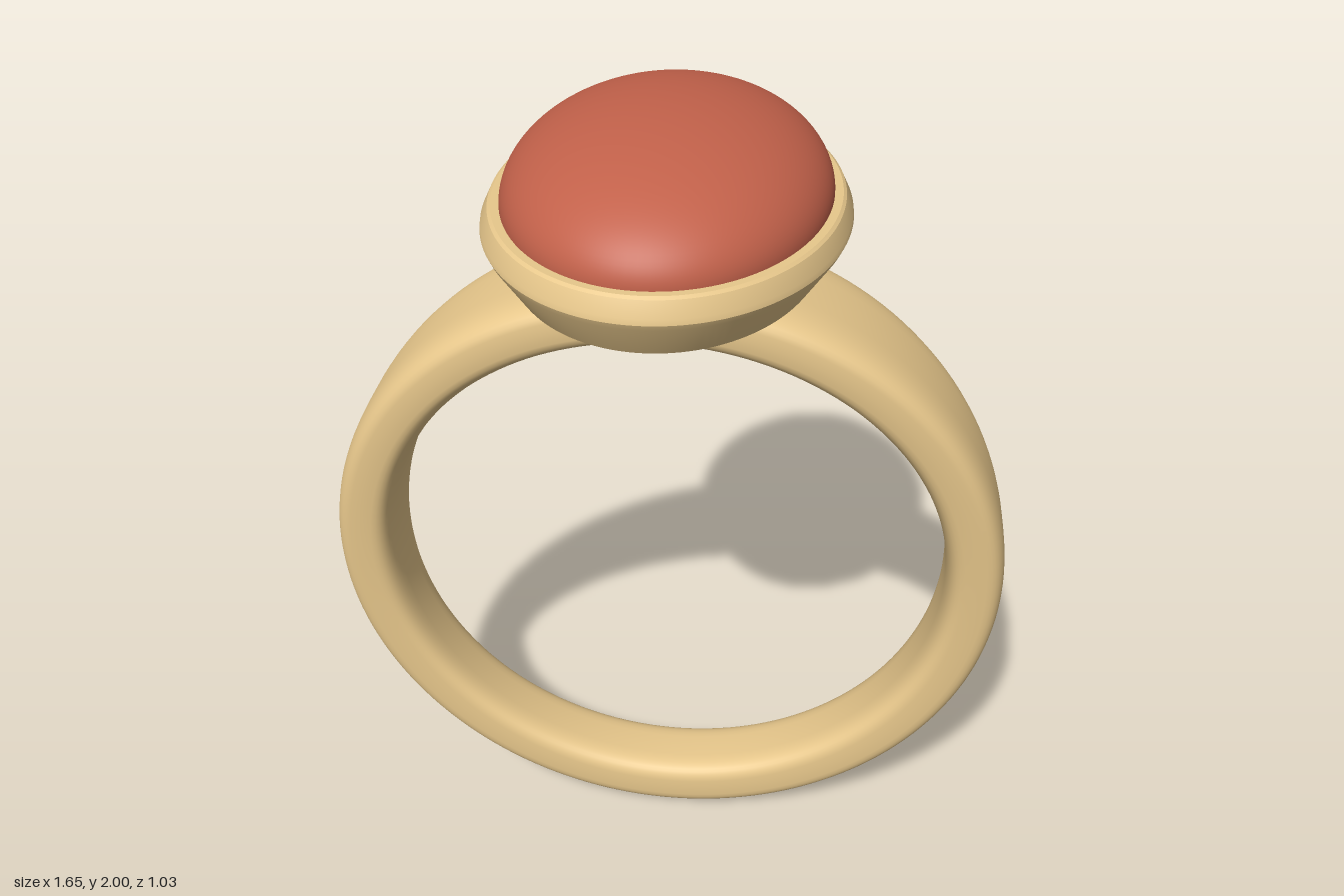
import * as THREE from 'three';
import { mergeVertices, toCreasedNormals } from 'three/addons/utils/BufferGeometryUtils.js';

const gold = new THREE.MeshStandardMaterial({ color: 0xe8c88c });
const red = new THREE.MeshStandardMaterial({ color: 0xc2614a });

// Band: a torus reshaped to a rounded-rectangle section that widens towards the top
function bandGeometry() {
  const outer = 0.825, inner = 0.685;
  const mid = (outer + inner) / 2, halfThick = (outer - inner) / 2;
  const geo = new THREE.TorusGeometry(mid, halfThick, 40, 160);
  const pos = geo.attributes.position, uv = geo.attributes.uv;
  const soft = (c) => Math.sign(c) * Math.pow(Math.abs(c), 0.55);
  for (let i = 0; i < pos.count; i++) {
    const u = uv.getX(i) * Math.PI * 2, v = uv.getY(i) * Math.PI * 2;
    const rise = (1 + Math.sin(u)) / 2;
    const halfWidth = 0.095 + 0.1 * rise * rise;
    const r = mid + halfThick * soft(Math.cos(v));
    pos.setXYZ(i, r * Math.cos(u), outer + r * Math.sin(u), halfWidth * soft(Math.sin(v)));
  }
  // weld the seams so the shading runs on smoothly
  geo.deleteAttribute('uv');
  geo.deleteAttribute('normal');
  const welded = mergeVertices(geo, 1e-5);
  welded.computeVertexNormals();
  return welded;
}

// Turned profile stretched into an oval: every ring is 0.12 longer in z than in x
function ovalLathe(profile, stretch) {
  const geo = new THREE.LatheGeometry(profile.map(([r, y]) => new THREE.Vector2(r, y)), 128);
  const pos = geo.attributes.position, uv = geo.attributes.uv;
  for (let i = 0; i < pos.count; i++) {
    pos.setZ(i, pos.getZ(i) + stretch * Math.cos(uv.getX(i) * Math.PI * 2));
  }
  return toCreasedNormals(geo, 0.45);
}

export function createModel() {
  const ring = new THREE.Group();
  ring.name = 'ring';
  const add = (name, geometry, material) => {
    const mesh = new THREE.Mesh(geometry, material);
    mesh.name = name;
    ring.add(mesh);
    return mesh;
  };

  add('band', bandGeometry(), gold);

  // Foot with a concave flare up to the underside of the bezel
  const flare = [[0.0001, 1.577], [0.145, 1.577], [0.147, 1.597]];
  for (let i = 1; i <= 8; i++) {
    const a = (i / 8) * Math.PI / 2;
    flare.push([0.285 - 0.138 * Math.cos(a), 1.597 + 0.073 * Math.sin(a)]);
  }
  add('bezelFoot', ovalLathe(flare, 0.122), gold);

  // Bezel cup with a sloping underside and a narrow rim around the stone
  add('bezel', ovalLathe([
    [0.0001, 1.67], [0.337, 1.67], [0.39, 1.75], [0.396, 1.763], [0.394, 1.775],
    [0.378, 1.808], [0.371, 1.813], [0.345, 1.813], [0.34, 1.79],
  ], 0.12), gold);

  // Domed oval stone
  const stone = add('stone', new THREE.SphereGeometry(1, 96, 32, 0, Math.PI * 2, 0, Math.PI / 2), red);
  stone.scale.set(0.353, 0.19, 0.474);
  stone.position.y = 1.81;

  return ring;
}
